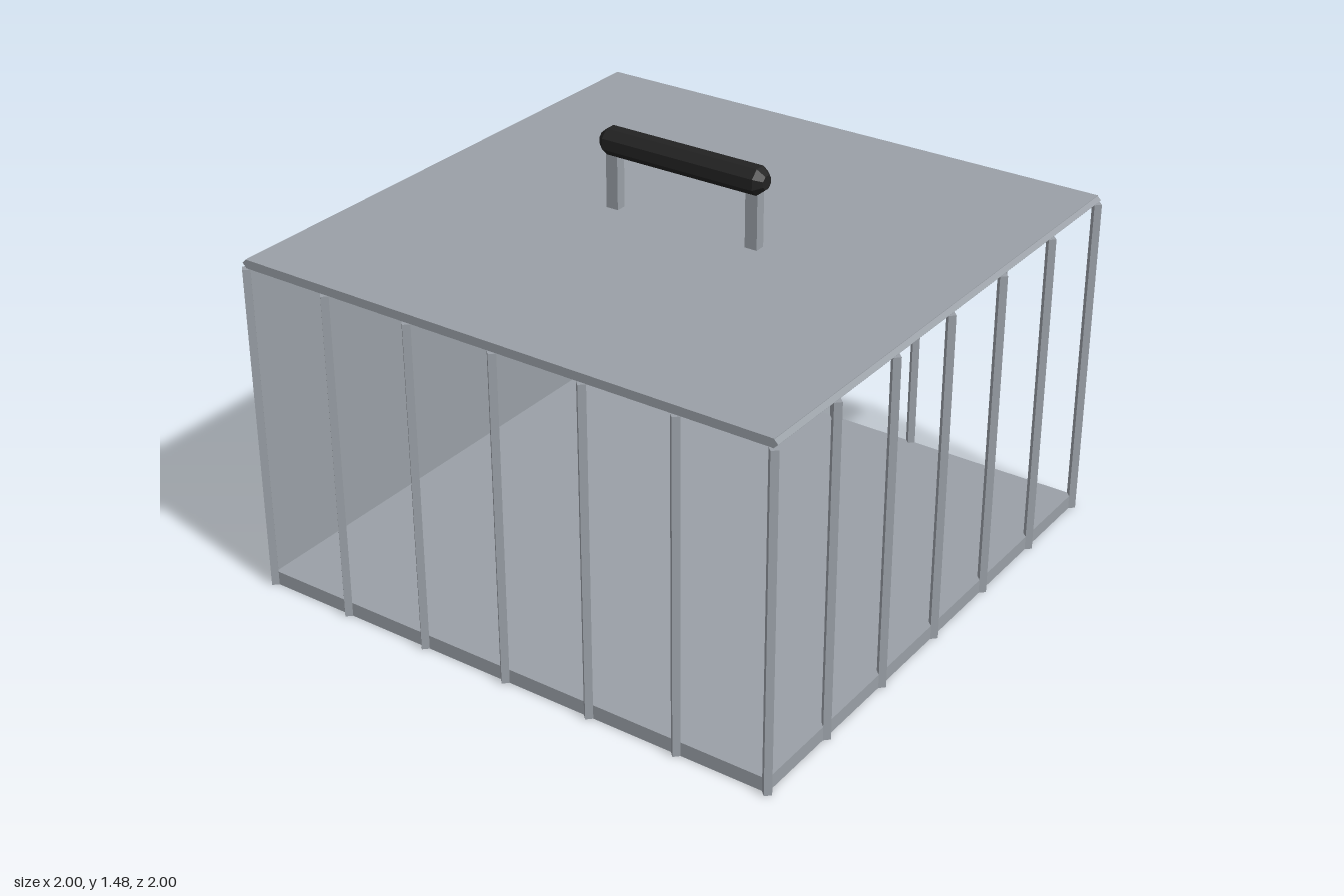
import * as THREE from 'three';

const metal = new THREE.MeshStandardMaterial({ name: 'grey metal', color: 0x9aa0a7, flatShading: true });
const rubber = new THREE.MeshStandardMaterial({ name: 'black rubber', color: 0x222222, flatShading: true });

const EDGE = 0.982;      // centre line of the outer bars
const ROOF_Y = 1.17;     // underside of the roof
const BAR_RADIUS = 0.018;

export function createModel() {
  const model = new THREE.Group();
  model.name = 'cage';

  const add = (name, geometry, material, x, y, z) => {
    const mesh = new THREE.Mesh(geometry, material);
    mesh.name = name;
    mesh.position.set(x, y, z);
    model.add(mesh);
    return mesh;
  };

  // Floor, roof and the one solid wall
  const half = 0.982;
  add('floor', new THREE.BoxGeometry(half * 2, 0.05, half * 2), metal, 0, 0.025, 0);
  add('roof', new THREE.BoxGeometry(half * 2, 0.03, half * 2), metal, 0, ROOF_Y + 0.015, 0);
  add('solidWall', new THREE.BoxGeometry(0.025, ROOF_Y, half * 2), metal, -0.985, ROOF_Y / 2, 0);

  // Diamond-section rails along both side edges of the roof
  const rail = new THREE.CylinderGeometry(0.015, 0.015, half * 2, 4).rotateX(Math.PI / 2);
  for (const side of [-1, 1]) add('roofRail', rail, metal, side * 0.98, ROOF_Y + 0.015, 0);

  // Diamond-section bars on the front, back and left side
  const bar = new THREE.CylinderGeometry(BAR_RADIUS, BAR_RADIUS, ROOF_Y, 4);
  for (let i = -3; i <= 3; i++) {
    const p = (i / 3) * EDGE;
    add('frontBar', bar, metal, p, ROOF_Y / 2, EDGE);
    add('backBar', bar, metal, p, ROOF_Y / 2, -EDGE);
    if (Math.abs(i) < 3) add('sideBar', bar, metal, EDGE, ROOF_Y / 2, p);
  }

  // Carrying handle: two posts and an eight-sided grip with bevelled ends
  const post = new THREE.BoxGeometry(0.045, 0.23, 0.038);
  for (const side of [-1, 1]) add('handlePost', post, metal, side * 0.27, 1.305, 0);

  const r = 0.045 / Math.cos(Math.PI / 8);
  const profile = [[0, -0.315], [r * 0.5, -0.315], [r, -0.288], [r, 0.288], [r * 0.5, 0.315], [0, 0.315]]
    .map(([x, y]) => new THREE.Vector2(x, y));
  const grip = new THREE.LatheGeometry(profile, 8).rotateY(Math.PI / 8).rotateZ(Math.PI / 2);
  add('handleGrip', grip, rubber, 0, 1.432, 0);

  return model;
}
